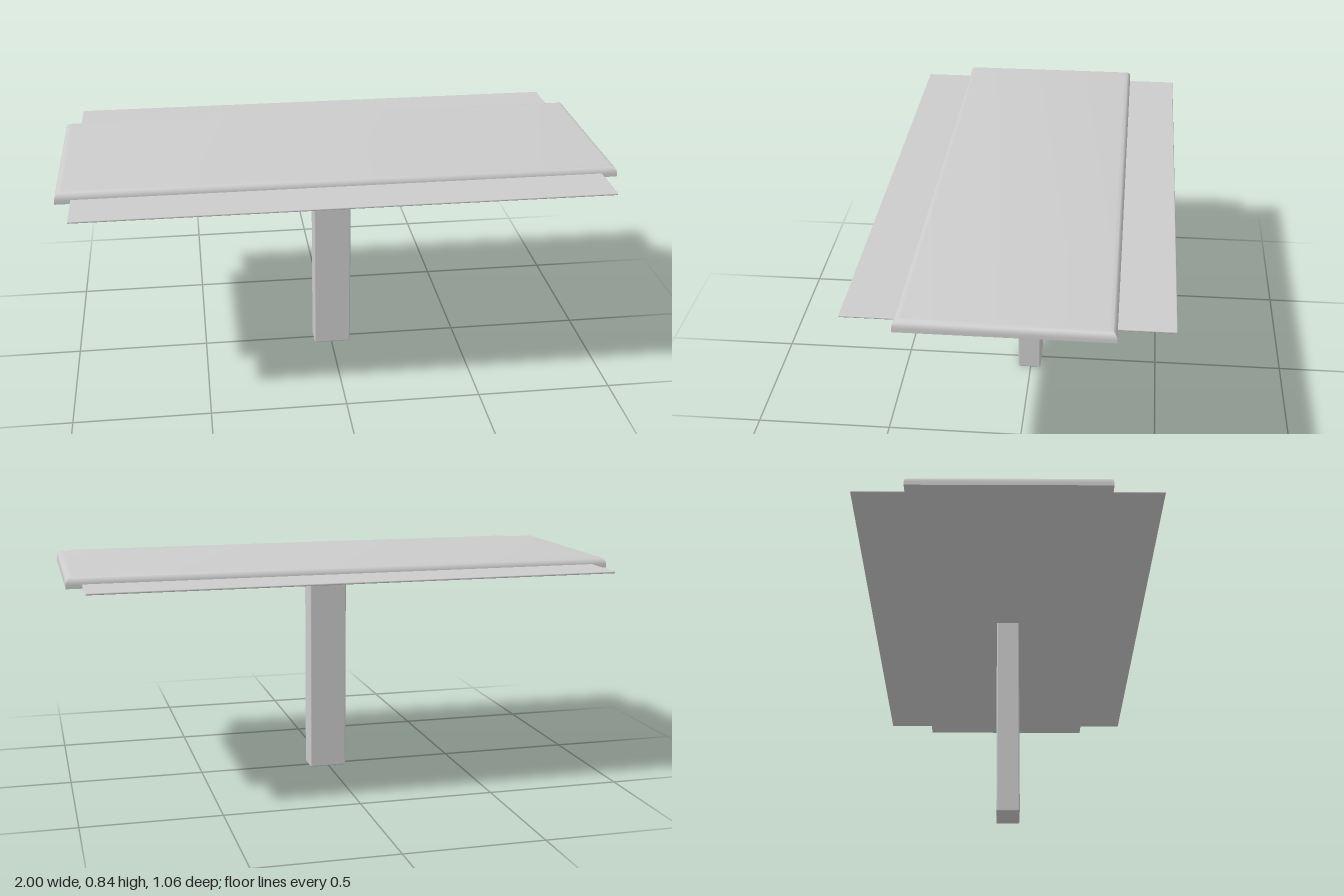
import * as THREE from 'three';
import { RoundedBoxGeometry } from 'three/addons/geometries/RoundedBoxGeometry.js';
import { toCreasedNormals } from 'three/addons/utils/BufferGeometryUtils.js';

const material = new THREE.MeshStandardMaterial({ color: 0xcccccc });

function addPart(group, name, geometry, x, y, z) {
  const mesh = new THREE.Mesh(geometry, material);
  mesh.name = name;
  mesh.position.set(x, y, z);
  group.add(mesh);
}

// Slab with a flat underside and rounded upper edges, standing on y = 0
function slabGeometry(width, height, depth, radius) {
  const w = width / 2, d = depth / 2;
  const outline = new THREE.Shape([
    new THREE.Vector2(-w, -d), new THREE.Vector2(w, -d),
    new THREE.Vector2(w, d), new THREE.Vector2(-w, d),
  ]);
  const geometry = new THREE.ExtrudeGeometry(outline, {
    depth: height - radius, bevelThickness: radius, bevelSize: radius,
    bevelOffset: -radius, bevelSegments: 6,
  });
  // Flatten the lower bevel into the underside
  const p = geometry.attributes.position;
  for (let i = 0; i < p.count; i++) p.setZ(i, Math.max(0, p.getZ(i)));
  geometry.rotateX(-Math.PI / 2);
  return toCreasedNormals(geometry, Math.PI / 5);
}

export function createModel() {
  const group = new THREE.Group();
  group.name = 'table';

  // Table top
  addPart(group, 'tableTop', slabGeometry(2, 0.038, 0.7, 0.025), 0, 0.8, 0.003);

  // Thin leaves sliding out from both long edges
  for (const [name, side] of [['frontLeaf', 1], ['backLeaf', -1]]) {
    addPart(group, name, new RoundedBoxGeometry(1.89, 0.007, 0.21, 2, 0.003), 0, 0.811, side * 0.426);
  }

  // Central post
  addPart(group, 'post', new RoundedBoxGeometry(0.142, 0.81, 0.088, 3, 0.005), 0.003, 0.405, 0.005);

  return group;
}
